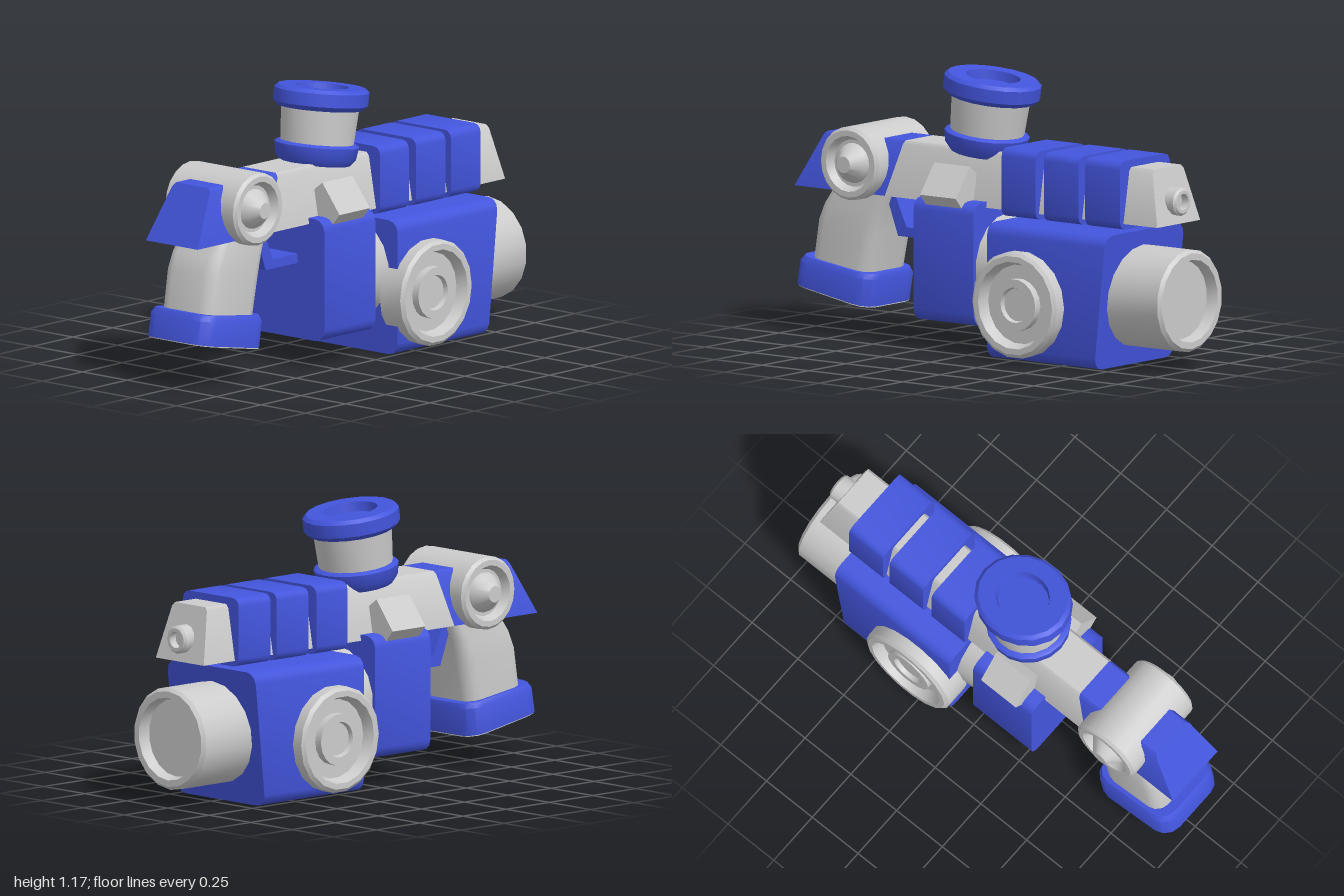
import * as THREE from 'three';
import { toCreasedNormals } from 'three/addons/utils/BufferGeometryUtils.js';

const grey = new THREE.MeshStandardMaterial({ color: 0xcccccc });
const blue = new THREE.MeshStandardMaterial({ color: 0x4355dd });

const named = (name, geometry, material) => {
  const mesh = new THREE.Mesh(geometry, material);
  mesh.name = name;
  return mesh;
};

// Skin a row of equal-length loops and close both ends
function loft(loops) {
  const pos = [];
  const tri = (a, b, c) => pos.push(...a, ...b, ...c);
  const n = loops[0].length;
  const centre = (l) => [0, 1, 2].map((k) => l.reduce((s, p) => s + p[k], 0) / n);
  const first = loops[0], last = loops[loops.length - 1];
  const c0 = centre(first), c1 = centre(last);
  for (let i = 0; i < n; i++) {
    const j = (i + 1) % n;
    for (let s = 0; s < loops.length - 1; s++) {
      const a = loops[s], b = loops[s + 1];
      tri(a[i], a[j], b[j]);
      tri(a[i], b[j], b[i]);
    }
    tri(c0, first[j], first[i]);
    tri(c1, last[i], last[j]);
  }
  const g = new THREE.BufferGeometry();
  g.setAttribute('position', new THREE.Float32BufferAttribute(pos, 3));
  return toCreasedNormals(g, 0.6);
}

// Counter-clockwise rounded rectangle of half sizes w, h around (0, cy)
function roundRect(w, h, r, cy = 0, ry = r) {
  const pts = [];
  [[1, 1], [-1, 1], [-1, -1], [1, -1]].forEach(([sx, sy], q) => {
    for (let i = 0; i <= 3; i++) {
      const a = (q + i / 3) * Math.PI / 2;
      pts.push([sx * (w - r) + r * Math.cos(a), cy + sy * (h - ry) + ry * Math.sin(a)]);
    }
  });
  return pts;
}

// Outline in x/y carried along z; each end may slope with height
const prism = (outline, z0, z1) =>
  loft([z0, z1].map((z) => outline.map(([x, y]) => [x, y, typeof z === 'function' ? z(y) : z])));

const slope = (ya, za, yb, zb) => (y) => za + (zb - za) * (y - ya) / (yb - ya);

// Upright stack of rounded sections: [backZ, backY, frontZ, frontY, halfWidth, corner]
const stack = (sections) => loft(sections.map(([bz, by, fz, fy, w, c]) =>
  roundRect(w, 1, c, 0, c / (Math.hypot(bz - fz, by - fy) / 2)).map(([x, v]) => {
    const t = (v + 1) / 2;
    return [x, by + (fy - by) * t, bz + (fz - bz) * t];
  })));

const lathe = (profile, sides = 18) => toCreasedNormals(
  new THREE.LatheGeometry(profile.map(([r, h]) => new THREE.Vector2(r, h)), sides), 0.6);

// Outline in z/y extruded across x
function sideExtrude(points, width) {
  const shape = new THREE.Shape(points.map(([z, y]) => new THREE.Vector2(z, y)));
  const g = new THREE.ExtrudeGeometry(shape, { depth: width, bevelEnabled: false });
  return g.translate(0, 0, -width / 2).rotateY(-Math.PI / 2);
}

export function createModel() {
  const model = new THREE.Group();
  model.name = 'blaster';
  const add = (name, geometry, material) => {
    const mesh = named(name, geometry, material);
    model.add(mesh);
    return mesh;
  };

  // Upper barrel and tail share one tapered section
  const section = [[0.145, 0.615], [0.105, 0.835], [0.092, 0.85],
    [-0.092, 0.85], [-0.105, 0.835], [-0.145, 0.615]];
  const joint = slope(0.615, 0.52, 0.85, 0.45);
  add('upperBarrel', prism(section, slope(0.615, -0.93, 0.85, -0.87), joint), grey);
  add('tail', prism(section, joint, slope(0.615, 1, 0.85, 0.87)), blue);

  const nozzle = add('smallNozzle', lathe([[0.06, 0], [0.06, 0.065], [0.05, 0.075], [0.035, 0.075],
    [0.035, 0.04], [0, 0.04]], 12), grey);
  nozzle.rotation.x = -Math.PI / 2;
  nozzle.position.set(0, 0.71, -0.88);

  // Three sleeves round the barrel
  [[-0.3, -0.12], [-0.53, -0.345], [-0.75, -0.565]].forEach(([a, b], i) =>
    add('barrelSleeve' + (i + 1), prism(roundRect(0.168, 0.145, 0.035, 0.735), a, b), blue));

  // Cross drum with a cone hub in each end
  const drumEnd = [[0, 0.232], [0.035, 0.232], [0.08, 0.18], [0.085, 0.165], [0.1, 0.165],
    [0.118, 0.2], [0.142, 0.2], [0.155, 0.187]];
  const drum = add('crossDrum', lathe([...drumEnd.map(([r, h]) => [r, -h]), ...drumEnd.reverse()], 20), grey);
  drum.rotation.z = -Math.PI / 2;
  drum.position.set(0, 0.742, 0.672);

  // Grip, its foot and the trigger guard
  add('grip', stack([[0.925, 0.32, 0.62, 0.27, 0.145, 0.06], [0.9, 0.48, 0.585, 0.44, 0.145, 0.06],
    [0.87, 0.55, 0.56, 0.54, 0.138, 0.05], [0.81, 0.64, 0.52, 0.64, 0.125, 0.04]]), grey);
  add('gripFoot', stack([[1, 0.207, 0.6, 0.135, 0.175, 0.075], [0.983, 0.305, 0.582, 0.25, 0.175, 0.075],
    [0.967, 0.328, 0.588, 0.273, 0.162, 0.07]]), blue);
  add('gripFootSole', stack([[0.998, 0.203, 0.602, 0.131, 0.173, 0.075],
    [0.998, 0.21, 0.602, 0.138, 0.173, 0.075]]), grey);
  add('triggerGuard', sideExtrude([[0.55, 0.575], [0.5, 0.44], [0.28, 0.44], [0.28, 0.48],
    [0.455, 0.48], [0.51, 0.6], [0.54, 0.62]], 0.16), blue);

  // Body blocks and the collar between them
  add('middleBlock', prism(roundRect(0.23, 0.26, 0.05, 0.38), -0.02, 0.3), blue);
  const collar = add('collar', lathe([[0, 0], [0.217, 0], [0.217, 0.2], [0, 0.2]]), grey);
  collar.rotation.x = -Math.PI / 2 - 0.1;
  collar.position.set(0, 0.365, 0.03);
  add('frontBlock', prism(roundRect(0.266, 0.286, 0.05, 0.289), slope(0.005, -0.69, 0.575, -0.75), -0.12), blue);

  // Main muzzle
  const muzzle = add('muzzle', lathe([[0, 0], [0.217, 0], [0.217, 0.385], [0.203, 0.4], [0.175, 0.4],
    [0.165, 0.35], [0, 0.35]]), grey);
  muzzle.rotation.x = -Math.PI / 2;
  muzzle.position.set(0, 0.295, -0.6);

  // Mirrored side parts
  for (const [side, s] of [['left', 1], ['right', -1]]) {
    const disc = add(side + 'Disc', lathe([[0, 0.2], [0.225, 0.2], [0.225, 0.315], [0.21, 0.328],
      [0.185, 0.328], [0.168, 0.28], [0.11, 0.28], [0.11, 0.315], [0.075, 0.315], [0.07, 0.295], [0, 0.295]]), grey);
    disc.rotation.z = -s * Math.PI / 2;
    disc.position.set(0, 0.25, -0.305);

    const lug = [[0.08, 0.605], [0.215, 0.605], [0.262, 0.66], [0.165, 0.785], [0.08, 0.72]]
      .map(([x, y]) => [s * x, y]);
    add(side + 'Lug', prism(s > 0 ? lug : lug.reverse(), 0.05, 0.24), grey);
  }

  // Tilted scope with an oval rim
  const scope = new THREE.Group();
  scope.name = 'scope';
  scope.position.set(0, 0.825, 0.1);
  scope.rotation.x = -0.135;
  scope.add(named('scopeBase', lathe([[0, 0], [0.148, 0], [0.172, 0.03], [0.18, 0.08], [0.165, 0.09], [0, 0.09]]), blue));
  scope.add(named('scopeBody', lathe([[0.155, 0.07], [0.168, 0.27]]), grey));
  const rim = named('scopeRim', lathe([[0, 0.235], [0.17, 0.235], [0.19, 0.255], [0.19, 0.31], [0.175, 0.325],
    [0.107, 0.325], [0.1, 0.285], [0, 0.285]]), blue);
  rim.scale.z = 1.13;
  scope.add(rim);
  model.add(scope);

  return model;
}
